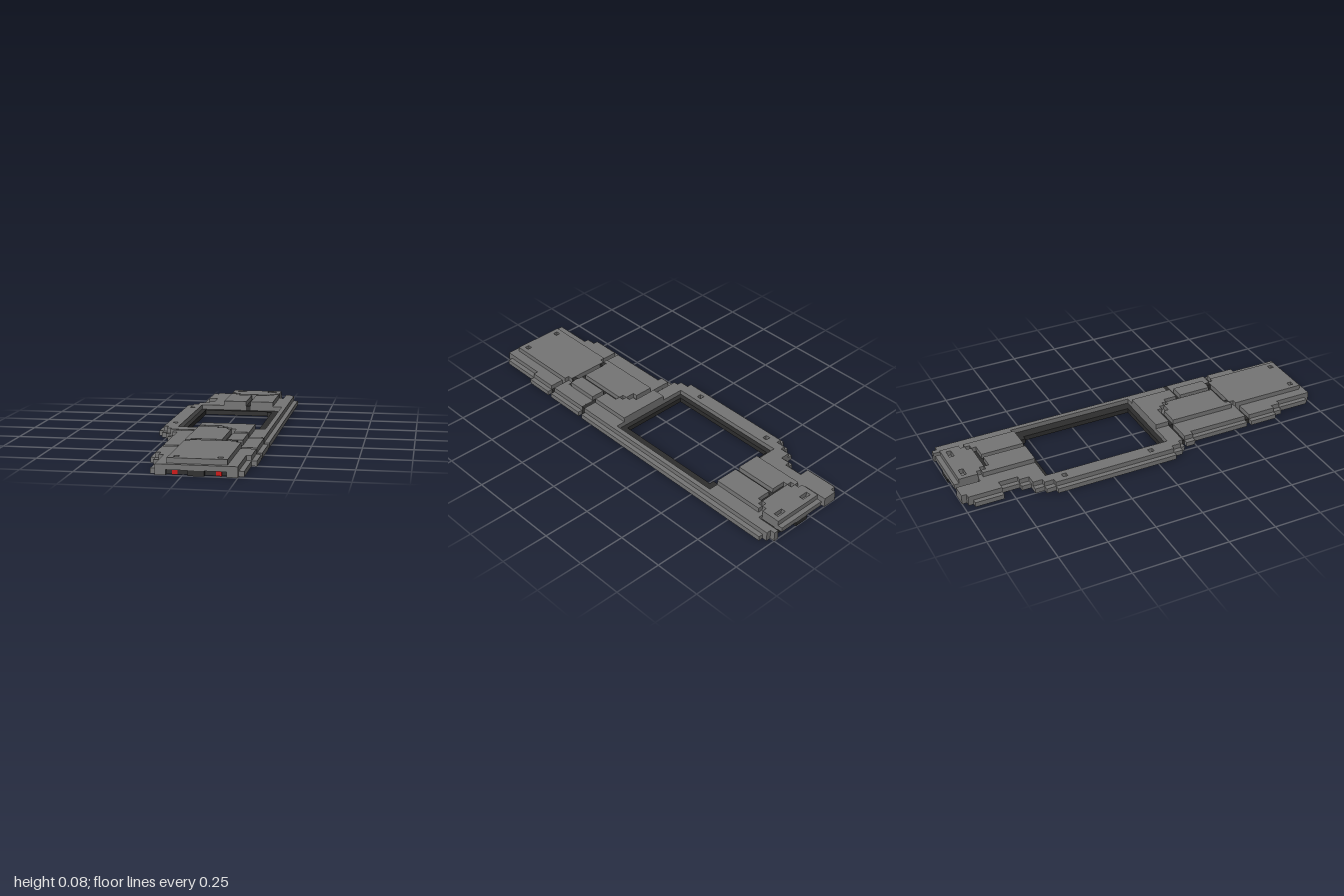
import * as THREE from 'three';
import { mergeGeometries } from 'three/addons/utils/BufferGeometryUtils.js';

const U = 0.025; // one cell; all rectangles below are [x0, x1, z0, z1] in cells

// Fill a cell grid with rectangles, cut others away, return few merged rectangles
function carve(fills, cuts) {
  const cells = new Set();
  const each = (rects, fn) => rects.forEach(([x0, x1, z0, z1]) => {
    for (let z = z0; z < z1; z++) for (let x = x0; x < x1; x++) fn(x + ',' + z);
  });
  each(fills, k => cells.add(k));
  each(cuts, k => cells.delete(k));
  const out = [];
  for (let z = -40; z < 40; z++) for (let x = -12; x < 12; x++) {
    if (!cells.has(x + ',' + z)) continue;
    let x1 = x, z1 = z + 1;
    while (cells.has(x1 + ',' + z)) x1++;
    const rowFull = r => {
      for (let i = x; i < x1; i++) if (!cells.has(i + ',' + r)) return false;
      return true;
    };
    while (rowFull(z1)) z1++;
    each([[x, x1, z, z1]], k => cells.delete(k));
    out.push([x, x1, z, z1]);
  }
  return out;
}

function slab(name, rects, layer, material, height = 1) {
  const boxes = rects.map(([x0, x1, z0, z1]) =>
    new THREE.BoxGeometry((x1 - x0) * U, height * U, (z1 - z0) * U)
      .translate((x0 + x1) / 2 * U, (layer + height / 2) * U, (z0 + z1) / 2 * U));
  const mesh = new THREE.Mesh(mergeGeometries(boxes), material);
  mesh.name = name;
  return mesh;
}

export function createModel() {
  const grey = new THREE.MeshStandardMaterial({ color: 0x757575 });
  grey.name = 'hull grey';
  const dark = new THREE.MeshStandardMaterial({ color: 0x2d2d2d });
  dark.name = 'dark grey';
  const red = new THREE.MeshStandardMaterial({ color: 0xd01010 });
  red.name = 'red';

  // Stepped outline of the plate
  const outline = [
    [-7, 10, -40, -39], [-8, 11, -39, -38], [-9, 12, -38, -32], [-7, 12, -32, -28],
    [-8, 12, -28, -26], [-10, 12, -26, -24], [-11, 12, -24, -22], [-12, 12, -22, 4],
    [-11, 12, 4, 6], [-10, 12, 6, 7], [-8, 12, 7, 8], [-9, 12, 8, 10], [-8, 12, 10, 23],
    [-7, 11, 23, 24], [-8, 12, 24, 30], [-7, 11, 30, 32], [-6, 11, 32, 39], [-5, 10, 39, 40],
  ];
  const inset = outline.map(([a, b, c, d]) => (c <= -39 || d === 40 ? [a, b, c, d] : [a + 1, b - 1, c, d]));
  const opening = [-8, 10, -23, 4];
  const tailSlots = [[-4, -3, -40, -38], [8, 9, -40, -38]];

  // Grooves with a low floor, and grooves in the raised panels
  const lowGrooves = [[-8, -3, 7, 8], [-7, -3, 23, 24], [8, 11, 23, 24], [-4, -3, -38, -35], [8, 9, -38, -35]];
  const highGrooves = [
    [-3, 2, 7, 8], [4, 5, 10, 21], [5, 11, 13, 14], [-2, 8, 21, 22],
    [2, 3, -32, -23], [-1, 6, -33, -32],
  ];
  // Stepped diagonal joints and small sockets
  const joints = [
    [1, 2, 8, 9], [2, 3, 8, 9], [3, 4, 9, 10], [-3, -2, 22, 23], [7, 8, 22, 23],
    [-2, -1, -34, -33], [-3, -2, -35, -34], [6, 7, -34, -33], [7, 8, -35, -34],
  ];
  const topSockets = [[-2, -1, 37, 38], [6, 7, 37, 38], [-2, 0, -38, -37], [5, 7, -38, -37]];
  const sideSockets = [[-10, -9, -20, -19], [-10, -9, -1, 0]];

  const strip = [8, 11, -38, 30];
  const endRecess = [[-3, 8, 38, 40], [-3, 8, -40, -38]];
  const notch = [11, 12, 13, 14];

  const model = new THREE.Group();
  model.name = 'plate';
  model.add(
    slab('basePlate', carve(outline, [opening, strip, notch, ...lowGrooves, ...tailSlots, ...endRecess]), 0, grey),
    slab('middlePlate', carve(inset, [opening, ...lowGrooves, ...highGrooves, ...tailSlots, ...sideSockets]), 1, grey),
    slab('raisedPanels', carve([[-3, 8, 4, 39], [-3, 8, -39, -23]], [...highGrooves, ...joints, ...topSockets]), 2, grey),
    // Dark rim of the opening, underside strip and groove floors
    slab('darkFrame', carve(
      [opening, strip, ...lowGrooves],
      [[-7, 7, -22, 3], [7, 8, -21, 3], ...tailSlots]), 0, dark),
    slab('grooveFloors', highGrooves, 1, dark, 0.99),
    slab('grooveEnd', [[6, 7, 21, 22], [-2, -1, 21, 22]], 2, dark, 0.9),
  );

  // Recessed dark bars under both ends
  for (const s of [1, -1]) {
    const span = (x0, x1, a, b) => [x0, x1, Math.min(a * s, b * s), Math.max(a * s, b * s)];
    model.add(slab(s > 0 ? 'frontBar' : 'rearBar', [span(-3, 8, 38, 39), span(1, 4, 39, 40)], 0, dark));
  }

  // Red lights on the front bar
  model.add(slab('frontLights', [[-2, -1, 39, 39.2], [6, 7, 39, 39.2]], 0, red));
  return model;
}
